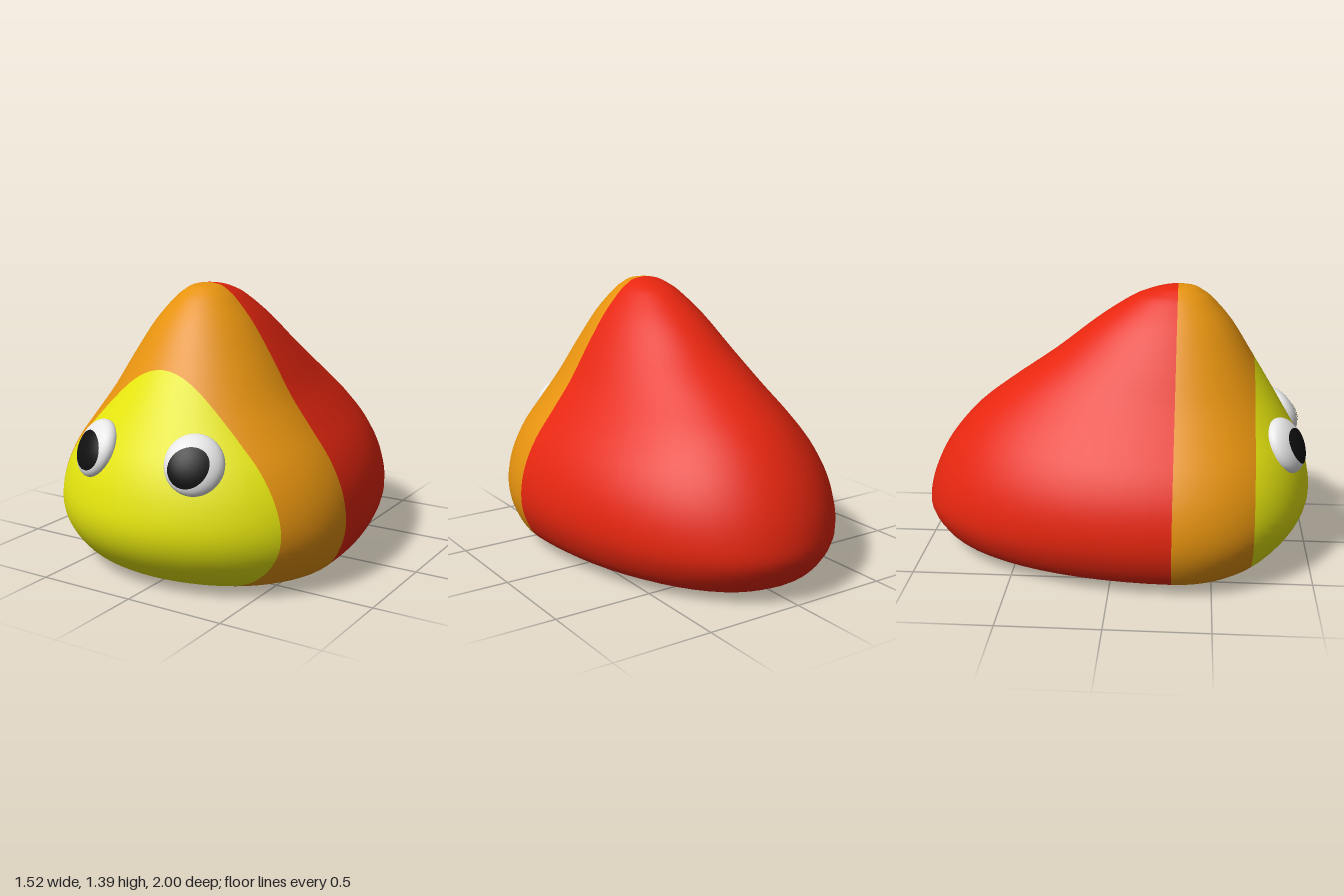
import * as THREE from 'three';
import { mergeVertices } from 'three/addons/utils/BufferGeometryUtils.js';

const material = (name, color) => {
  const m = new THREE.MeshStandardMaterial({ color });
  m.name = name;
  return m;
};

const MID = 0.31; // z of the widest line of every slice

// Horizontal slices: height, half width, front z, back z
const SLICES = [
  [1.395, 0, MID, MID], [1.384, 0.07, 0.39, 0.225], [1.36, 0.112, 0.435, 0.14],
  [1.32, 0.16, 0.485, 0.055], [1.21, 0.255, 0.58, -0.11], [1.05, 0.36, 0.68, -0.315],
  [0.886, 0.46, 0.78, -0.55], [0.75, 0.562, 0.86, -0.725], [0.61, 0.667, 0.938, -0.85],
  [0.47, 0.735, 0.985, -0.935], [0.33, 0.762, 1, -0.985], [0.207, 0.747, 0.96, -0.993],
  [0.09, 0.687, 0.865, -0.92], [0.035, 0.6, 0.78, -0.82], [0.015, 0.5, 0.68, -0.68],
  [0.004, 0, MID, MID],
];

// Closed egg-shaped loft through the slices
function bodyGeometry(rows = 60, cols = 64) {
  const [width, front, back] = [1, 2, 3].map(
    (k) => new THREE.SplineCurve(SLICES.map((s) => new THREE.Vector2(s[k], s[0]))));
  const pos = [], index = [];
  for (let i = 0; i <= rows; i++) {
    const t = i / rows;
    const w = width.getPoint(t), f = front.getPoint(t).x, b = back.getPoint(t).x;
    for (let j = 0; j < cols; j++) {
      const a = (j / cols) * Math.PI * 2, c = Math.cos(a);
      pos.push(w.x * Math.sin(a), w.y, MID + c * (c > 0 ? f - MID : MID - b));
      if (i === rows) continue;
      const A = i * cols + j, D = i * cols + ((j + 1) % cols);
      index.push(A, A + cols, D + cols, A, D + cols, D);
    }
  }
  const g = new THREE.BufferGeometry();
  g.setAttribute('position', new THREE.Float32BufferAttribute(pos, 3));
  g.setIndex(index);
  const merged = mergeVertices(g, 1e-5);
  merged.computeVertexNormals();
  return merged;
}

// Keep the part of a polygon where sign * (z - limit) >= 0
function clip(poly, limit, sign) {
  const out = [];
  poly.forEach((p, i) => {
    const q = poly[(i + 1) % poly.length];
    const dp = sign * (p[2] - limit), dq = sign * (q[2] - limit);
    if (dp >= 0) out.push(p);
    if ((dp > 0 && dq < 0) || (dp < 0 && dq > 0)) {
      const t = dp / (dp - dq);
      out.push(p.map((v, k) => v + (q[k] - v) * t));
    }
  });
  return out;
}

// Cut out the band between two z planes, keeping the smooth normals
function band(source, zMin, zMax) {
  const P = source.attributes.position, N = source.attributes.normal, idx = source.index;
  const pos = [], nor = [];
  const vertex = (i) => [P.getX(i), P.getY(i), P.getZ(i), N.getX(i), N.getY(i), N.getZ(i)];
  for (let f = 0; f < idx.count; f += 3) {
    const ids = [idx.getX(f), idx.getX(f + 1), idx.getX(f + 2)];
    if (new Set(ids).size < 3) continue;
    const poly = clip(clip(ids.map(vertex), zMin, 1), zMax, -1);
    for (let k = 1; k + 1 < poly.length; k++) {
      for (const v of [poly[0], poly[k], poly[k + 1]]) {
        pos.push(...v.slice(0, 3));
        nor.push(...v.slice(3));
      }
    }
  }
  const g = new THREE.BufferGeometry();
  g.setAttribute('position', new THREE.Float32BufferAttribute(pos, 3));
  g.setAttribute('normal', new THREE.Float32BufferAttribute(nor, 3));
  return g;
}

// Flattened eyeball lying on the face, with a round pupil facing forward
function createEye(side, white, black) {
  const eye = new THREE.Group();
  eye.position.set(side * 0.275, 0.652, 0.852);
  const size = new THREE.Vector3(0.138, 0.143, 0.07);
  const normal = new THREE.Vector3(side * 0.51, 0.56, 1).normalize();
  const turn = new THREE.Quaternion().setFromUnitVectors(new THREE.Vector3(0, 0, 1), normal);

  const ball = new THREE.Mesh(new THREE.SphereGeometry(1, 32, 20), white);
  ball.name = 'eyeWhite';
  ball.scale.copy(size);
  ball.quaternion.copy(turn);

  // Drape a disc over the front of the eyeball
  const disc = new THREE.RingGeometry(0, 0.088, 40, 8);
  disc.translate(side * 0.007, 0.002, 0);
  const inverse = turn.clone().invert();
  const a = new THREE.Vector3(0, 0, 1).applyQuaternion(inverse).divide(size);
  const p = disc.attributes.position, b = new THREE.Vector3();
  for (let i = 0; i < p.count; i++) {
    b.set(p.getX(i), p.getY(i), 0).applyQuaternion(inverse).divide(size);
    const aa = a.dot(a), ab = a.dot(b);
    const root = Math.sqrt(Math.max(0, ab * ab - aa * (b.dot(b) - 1)));
    p.setZ(i, (root - ab) / aa + 0.004);
  }
  disc.computeVertexNormals();
  const pupil = new THREE.Mesh(disc, black);
  pupil.name = 'pupil';

  eye.add(ball, pupil);
  eye.name = side > 0 ? 'leftEye' : 'rightEye';
  return eye;
}

export function createModel() {
  const model = new THREE.Group();
  model.name = 'creature';

  // Body in three coloured bands from back to front
  const body = bodyGeometry();
  const bands = [
    ['backBody', -2, 0.305, material('red', 0xe6260f)],
    ['middleBody', 0.305, 0.695, material('orange', 0xe6930f)],
    ['face', 0.695, 2, material('yellow', 0xe6e60f)],
  ];
  for (const [name, zMin, zMax, mat] of bands) {
    const mesh = new THREE.Mesh(band(body, zMin, zMax), mat);
    mesh.name = name;
    model.add(mesh);
  }

  // Eyes
  const white = material('white', 0xe6e6e6), black = material('black', 0x101010);
  for (const side of [-1, 1]) model.add(createEye(side, white, black));
  return model;
}
